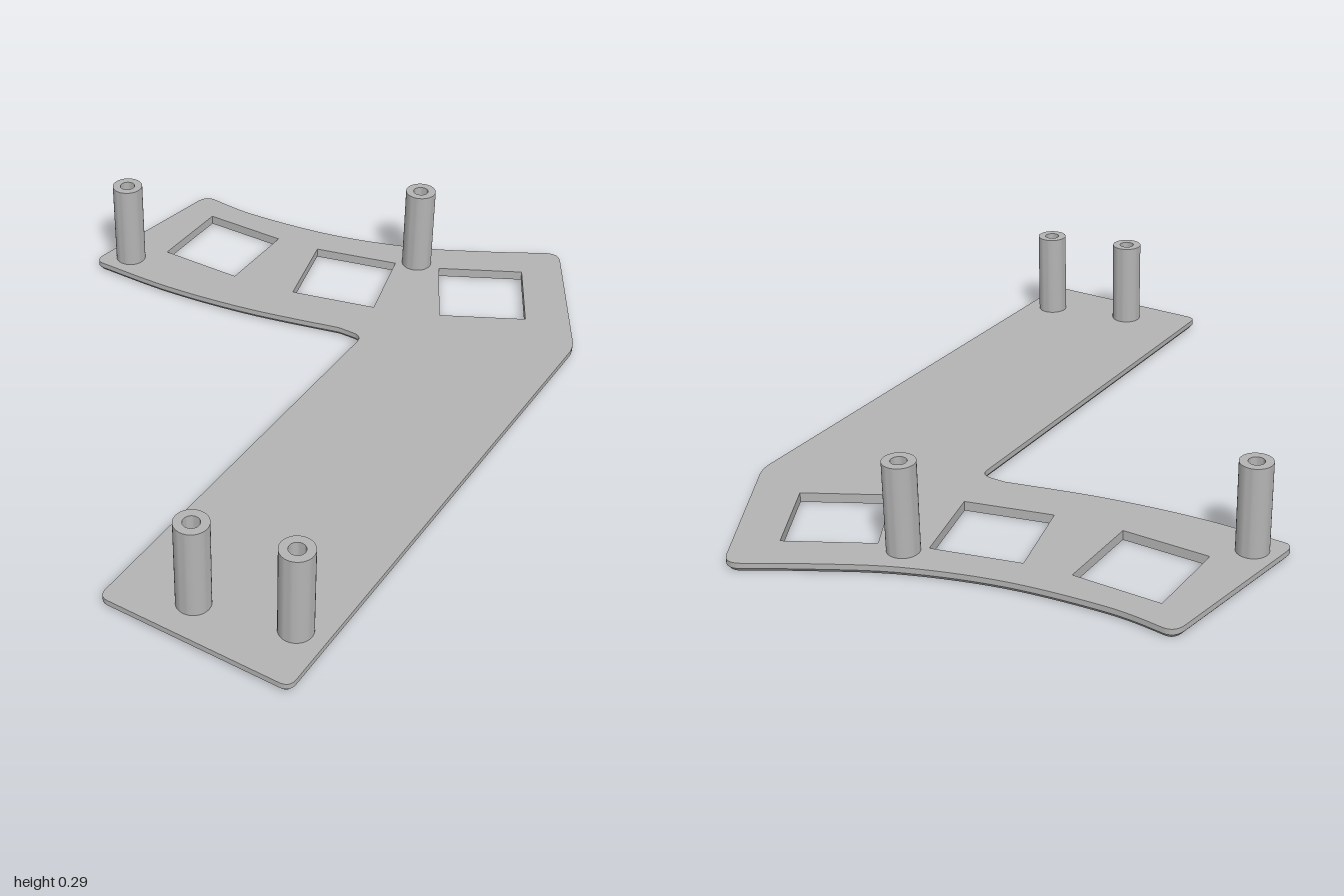
import * as THREE from 'three';
import { toCreasedNormals } from 'three/addons/utils/BufferGeometryUtils.js';

const THICKNESS = 0.028, CHAMFER = 0.012, POST_TOP = 0.287;

// Plate outline, drawn counter-clockwise with (x, -z)
function plateOutline() {
  const v = (pts) => pts.map(([x, y]) => new THREE.Vector2(x, y));
  const s = new THREE.Shape();
  s.moveTo(0.21, -1);
  s.lineTo(0.697, -1);
  s.quadraticCurveTo(0.727, -1, 0.727, -0.97);
  s.lineTo(0.727, 0.54);
  s.quadraticCurveTo(0.727, 0.575, 0.706, 0.61);
  s.lineTo(0.505, 0.967);
  s.quadraticCurveTo(0.483, 1.015, 0.44, 0.992);
  s.splineThru(v([[0.29, 0.905], [0.08, 0.8], [-0.18, 0.722], [-0.46, 0.69], [-0.625, 0.7]]));
  s.quadraticCurveTo(-0.655, 0.7, -0.662, 0.665);
  s.lineTo(-0.727, 0.23);
  s.quadraticCurveTo(-0.733, 0.19, -0.7, 0.19);
  s.splineThru(v([[-0.45, 0.192], [-0.18, 0.225], [0.1, 0.288]]));
  s.lineTo(0.15, 0.288);
  s.quadraticCurveTo(0.18, 0.286, 0.18, 0.255);
  s.lineTo(0.18, -0.97);
  s.quadraticCurveTo(0.18, -1, 0.21, -1);
  const pts = s.getPoints(10);
  if (pts[0].distanceTo(pts[pts.length - 1]) < 1e-6) pts.pop();
  return pts;
}

// Shift a counter-clockwise loop inward
function inset(pts, d) {
  const n = pts.length;
  return pts.map((p, i) => {
    const t = pts[(i + 1) % n].clone().sub(pts[(i + n - 1) % n]).normalize();
    return new THREE.Vector2(p.x - t.y * d, p.y + t.x * d);
  });
}

// Wall between two matching loops at heights h0 and h1
function wall(lo, h0, hi, h1) {
  const pos = [], idx = [], n = lo.length;
  for (let i = 0; i < n; i++) {
    const j = (i + 1) % n;
    pos.push(lo[i].x, lo[i].y, h0, hi[i].x, hi[i].y, h1);
    idx.push(2 * i, 2 * j, 2 * j + 1, 2 * i, 2 * j + 1, 2 * i + 1);
  }
  const g = new THREE.BufferGeometry();
  g.setAttribute('position', new THREE.Float32BufferAttribute(pos, 3));
  g.setIndex(idx);
  return toCreasedNormals(g, 0.5);
}

// Flat face with holes, facing up or down
function face(outline, holes, h, down) {
  const s = new THREE.Shape(outline);
  s.holes = holes.map((pts) => new THREE.Path(pts));
  const g = new THREE.ShapeGeometry(s);
  if (down) {
    const a = g.index.array;
    for (let i = 0; i < a.length; i += 3) [a[i], a[i + 1]] = [a[i + 1], a[i]];
    g.computeVertexNormals();
  }
  return g.translate(0, 0, h);
}

export function createModel() {
  const model = new THREE.Group();
  const grey = new THREE.MeshStandardMaterial({ color: 0xb4b4b4 });
  grey.name = 'grey';
  const add = (parent, name, geometry) => {
    const m = new THREE.Mesh(geometry, grey);
    m.name = name;
    parent.add(m);
    return m;
  };

  // Square openings, clockwise: x, -z, turn in degrees
  const holes = [[-0.441, 0.48, 0], [-0.022, 0.53, 14], [0.373, 0.68, 28]].map(([x, y, deg]) =>
    [[-1, -1], [-1, 1], [1, 1], [1, -1]].map(([a, b]) =>
      new THREE.Vector2(a * 0.128, b * 0.128)
        .rotateAround(new THREE.Vector2(), THREE.MathUtils.degToRad(deg))
        .add(new THREE.Vector2(x, y))));

  // Plate with a chamfered lower edge
  const plate = new THREE.Group();
  plate.name = 'plate';
  model.add(plate);
  const outer = plateOutline();
  const inner = inset(outer, 0.01);
  const part = (name, g) => add(plate, name, g.rotateX(-Math.PI / 2));
  part('plateTop', face(outer, holes, THICKNESS, false));
  part('plateBottom', face(inner, holes, 0, true));
  part('plateEdge', wall(outer, CHAMFER, outer, THICKNESS));
  part('plateChamfer', wall(inner, 0, outer, CHAMFER));
  holes.forEach((h) => part('openingWall', wall(h, 0, h, THICKNESS)));

  // Hollow standoff posts
  const R = 0.045, r = 0.022;
  const profile = [[R, THICKNESS], [R, POST_TOP], [r, POST_TOP], [r, THICKNESS], [0, THICKNESS + 0.001]]
    .map(([x, y]) => new THREE.Vector2(x, y));
  const postGeometry = toCreasedNormals(new THREE.LatheGeometry(profile, 40), 0.5);
  [[-0.648, -0.267], [0.124, -0.725], [0.387, 0.892], [0.643, 0.836]].forEach(([x, z]) => {
    add(model, 'post', postGeometry).position.set(x, 0, z);
  });
  return model;
}
